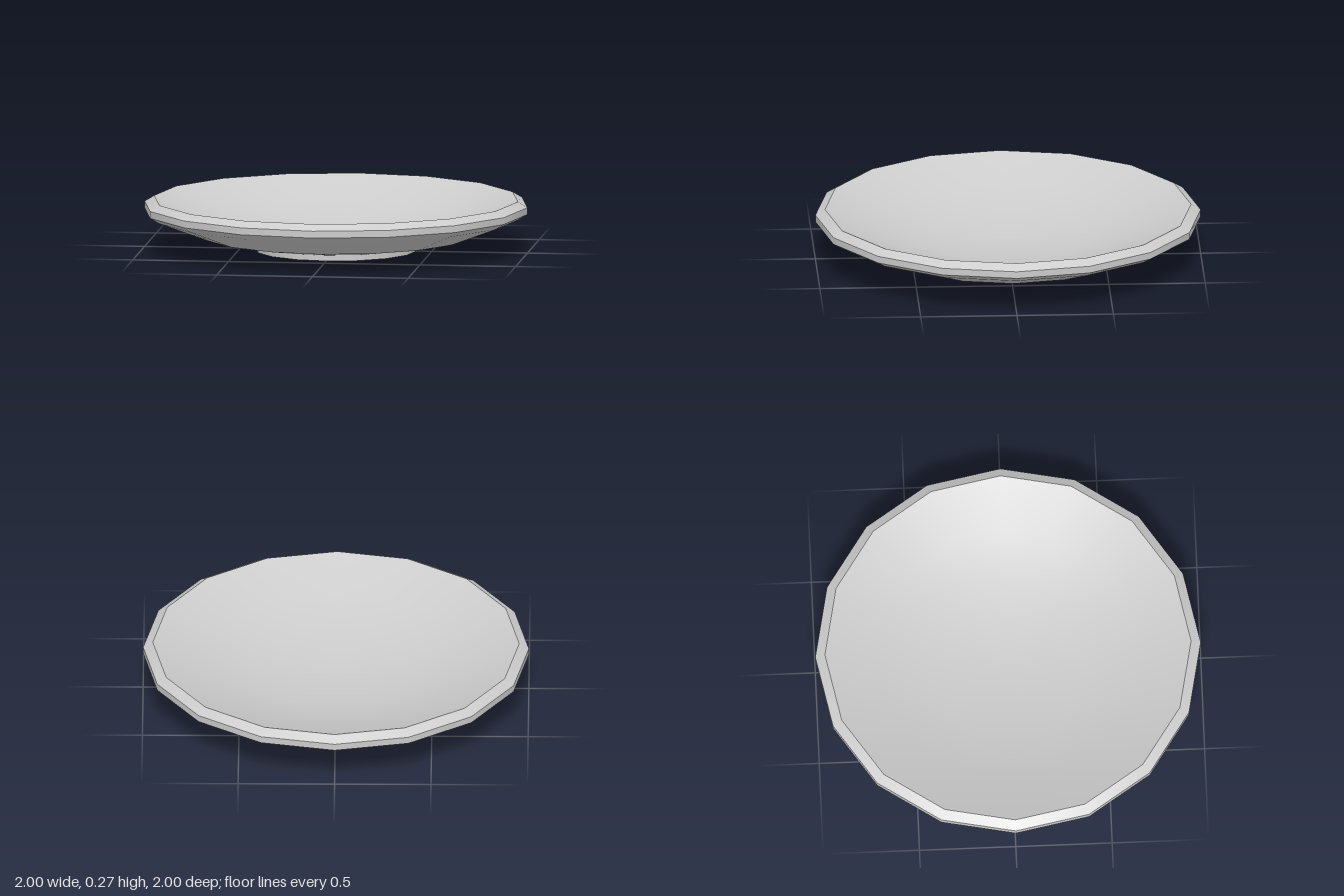
import * as THREE from 'three';

const SIDES = 16;

export function createModel() {
  const plate = new THREE.Group();
  plate.name = 'plate';
  const ceramic = new THREE.MeshStandardMaterial({ color: 0xcccccc });
  ceramic.name = 'grey ceramic';

  // Each turned section is smooth in itself, with a sharp edge to the next.
  function turned(name, profile) {
    const points = profile.map(([r, y]) => new THREE.Vector2(r, y));
    const mesh = new THREE.Mesh(new THREE.LatheGeometry(points, SIDES), ceramic);
    mesh.name = name;
    plate.add(mesh);
  }

  // Foot ring with a recessed base
  turned('base', [[0, 0.03], [0.35, 0.03]]);
  turned('footInnerWall', [[0.35, 0.03], [0.35, 0]]);
  turned('footBottom', [[0.35, 0], [0.42, 0]]);
  turned('footOuterWall', [[0.42, 0], [0.42, 0.03]]);

  // Flared underside
  turned('underside', [[0.42, 0.03], [0.69, 0.073], [0.95, 0.172], [1, 0.202]]);

  // Rim band and its bevel
  turned('rimBand', [[1, 0.202], [1, 0.238]]);
  turned('rimBevel', [[1, 0.238], [0.95, 0.268]]);

  // Shallow dished inside
  turned('bowl', [[0.95, 0.268], [0.68, 0.165], [0.42, 0.1], [0.15, 0.072], [0, 0.07]]);

  return plate;
}
